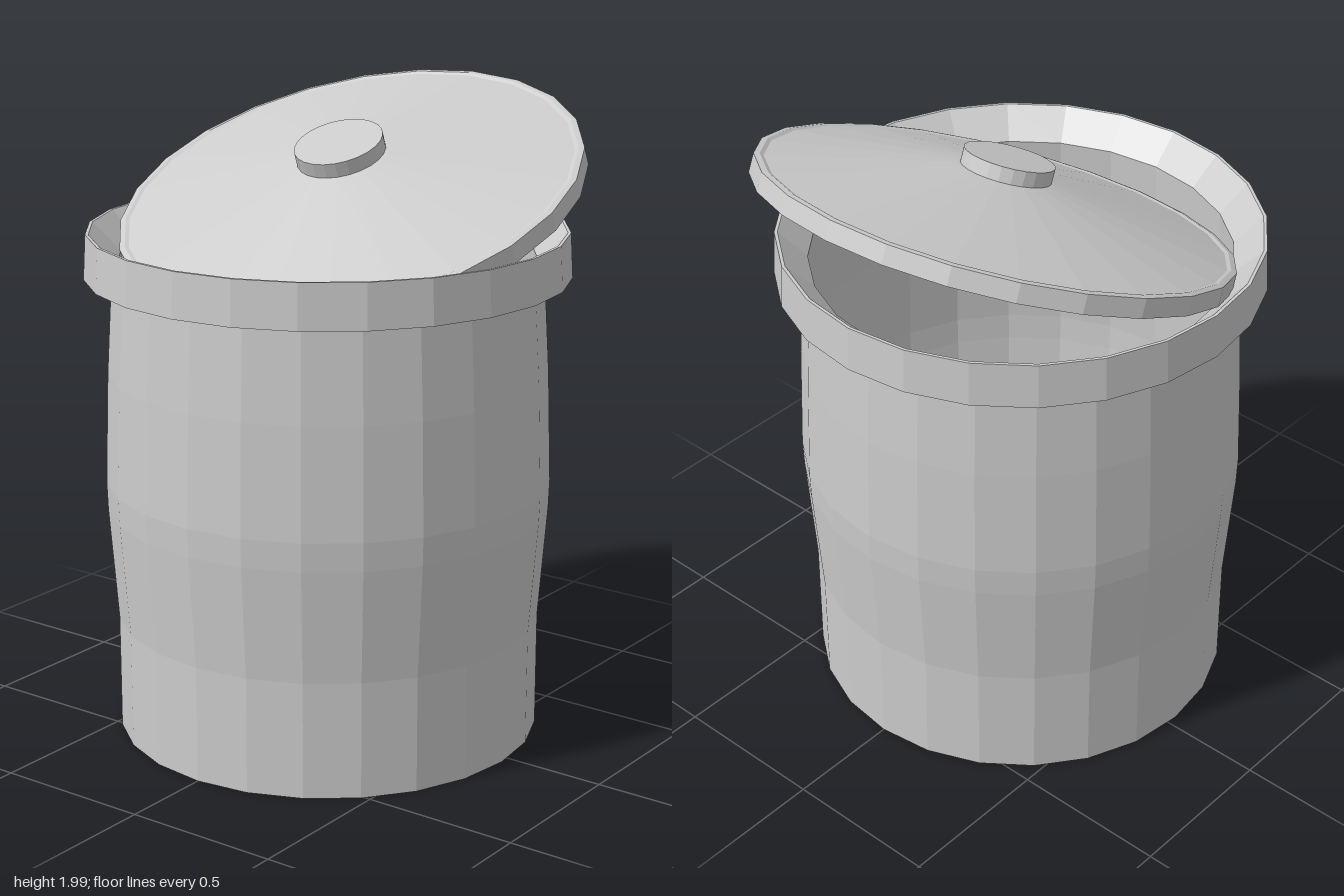
import * as THREE from 'three';

const SIDES = 24;
const material = new THREE.MeshStandardMaterial({
  color: 0xcccccc, flatShading: true, side: THREE.DoubleSide,
});

// Revolves a list of [radius, height] points into a named faceted mesh
function turned(name, profile) {
  const points = profile.map(([r, y]) => new THREE.Vector2(r, y));
  const mesh = new THREE.Mesh(new THREE.LatheGeometry(points, SIDES), material);
  mesh.name = name;
  return mesh;
}

export function createModel() {
  const model = new THREE.Group();
  model.name = 'bin';

  // Hollow can: base, bulging outer wall, thin lip, inner wall and floor
  const can = new THREE.Group();
  can.name = 'can';
  can.position.z = 0.035;
  can.add(turned('canBody', [
    [0, 0], [0.67, 0], [0.67, 0.37], [0.697, 0.73], [0.7, 0.82],
    [0.688, 1.17], [0.67, 1.47], [0.668, 1.535],
    [0.65, 1.52], [0.668, 1.17], [0.68, 0.82], [0.677, 0.73],
    [0.65, 0.37], [0.65, 0.02], [0, 0.02],
  ]));

  // Overhanging skirt with a funnel sloping into the mouth, open underneath
  can.add(turned('canRim', [
    [0.745, 1.47], [0.755, 1.47], [0.747, 1.61], [0.737, 1.61], [0.65, 1.52],
  ]));
  can.add(turned('rimInnerWall', [[0.745, 1.47], [0.737, 1.61]]));
  model.add(can);

  // Shallow conical lid with a knob, tipped forward into the mouth
  const lid = new THREE.Group();
  lid.name = 'lid';
  lid.add(turned('lidCover', [
    [0, 0], [0.74, 0], [0.738, 0.06], [0.72, 0.064], [0.708, 0.06], [0.14, 0.165], [0, 0.19],
  ]));
  lid.add(turned('lidKnob', [[0.14, 0.15], [0.14, 0.212], [0, 0.212]]));
  lid.position.set(0, 1.671, -0.095);
  lid.rotation.x = THREE.MathUtils.degToRad(21.3);
  model.add(lid);

  return model;
}
